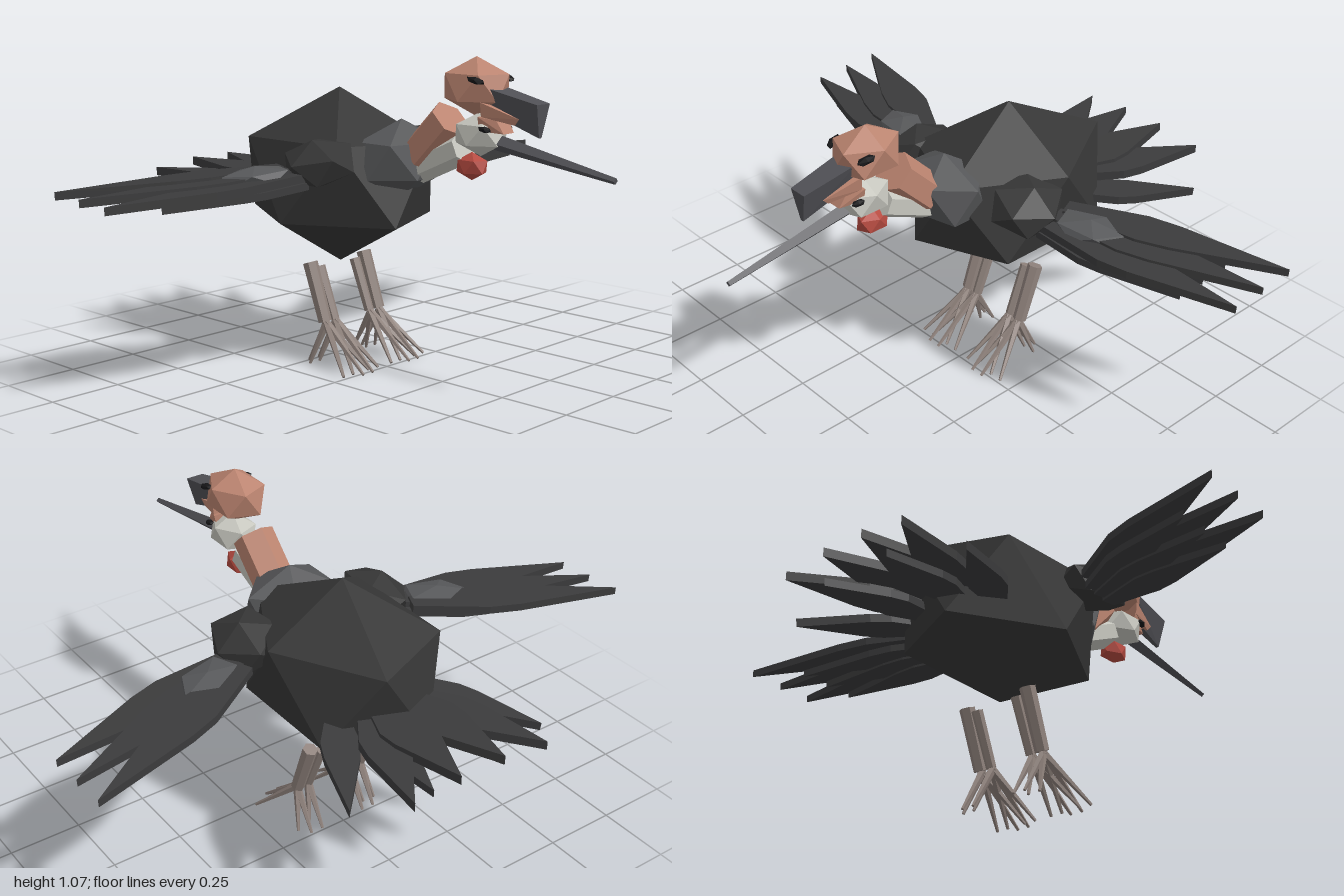
import * as THREE from 'three';
import { ConvexGeometry } from 'three/addons/geometries/ConvexGeometry.js';

const V = (x, y, z) => new THREE.Vector3(x, y, z);

export function createModel() {
  const model = new THREE.Group();
  model.name = 'bird';

  const mat = (name, color) => {
    const m = new THREE.MeshStandardMaterial({ color, flatShading: true });
    m.name = name;
    return m;
  };
  const bodyBlack = mat('bodyBlack', 0x363636);
  const featherBlack = mat('featherBlack', 0x3b3b3c);
  const ruffGrey = mat('ruffGrey', 0x565759);
  const beakGrey = mat('beakGrey', 0x505055);
  const skin = mat('skin', 0xbb8470);
  const pale = mat('pale', 0xc6c6be);
  const red = mat('wattleRed', 0xb54a40);
  const legBrown = mat('legBrown', 0x8f827c);
  const eyeBlack = mat('eyeBlack', 0x161618);

  const add = (name, geometry, material, parent = model) => {
    const mesh = new THREE.Mesh(geometry, material);
    mesh.name = name;
    parent.add(mesh);
    return mesh;
  };

  // Stretched icosahedron standing on a vertex; side -1 mirrors it
  const ico = (name, material, c, r, rot = [0, 0, 0], side = 1, parent = model) => {
    const pts = [V(0, 1, 0), V(0, -1, 0)];
    for (let i = 0; i < 5; i++) {
      const a = i * Math.PI * 0.4;
      const x = Math.cos(a) * 0.8944, z = Math.sin(a) * 0.8944;
      pts.push(V(x, 0.4472, z), V(-x, -0.4472, z));
    }
    const euler = new THREE.Euler(...rot);
    for (const p of pts) {
      p.multiply(V(...r)).applyEuler(euler).add(V(...c));
      p.x *= side;
    }
    return add(name, new ConvexGeometry(pts), material, parent);
  };

  // Straight rod between two points, r0 at the start and r1 at the end
  const rod = (name, material, a, b, r0, r1, sides, parent = model) => {
    const dir = b.clone().sub(a);
    const g = new THREE.CylinderGeometry(r1, r0, dir.length(), sides);
    const mesh = add(name, g, material, parent);
    mesh.position.copy(a).lerp(b, 0.5);
    mesh.quaternion.setFromUnitVectors(V(0, 1, 0), dir.normalize());
    return mesh;
  };

  // Flat pointed feather of even thickness
  const feather = (name, base, tip, w, thick, parent) => {
    const dir = tip.clone().sub(base), L = dir.length();
    const s = new THREE.Shape([
      [0, -0.45 * w], [0.35 * L, -w], [0.5 * L, -0.9 * w], [L, 0],
      [0.5 * L, 0.9 * w], [0.35 * L, w], [0, 0.45 * w],
    ].map(([x, y]) => new THREE.Vector2(x, y)));
    const g = new THREE.ExtrudeGeometry(s, { depth: thick, bevelEnabled: false });
    g.translate(0, 0, -thick / 2);
    const x = dir.normalize();
    const y = V(0, 1, 0).cross(x).normalize();
    const z = x.clone().cross(y);
    g.applyMatrix4(new THREE.Matrix4().makeBasis(x, y, z).setPosition(base));
    return add(name, g, featherBlack, parent);
  };

  // Body, ruff and the two neck tubes
  ico('body', bodyBlack, [0, 0.64, -0.22], [0.313, 0.3, 0.4]);
  ico('ruff', ruffGrey, [0, 0.725, 0.065], [0.18, 0.13, 0.135]);
  rod('neck', skin, V(0, 0.745, 0.15), V(0, 0.872, 0.277), 0.07, 0.07, 6);
  rod('throat', pale, V(0, 0.7, 0.14), V(0, 0.785, 0.33), 0.052, 0.052, 6);

  // Head, pale lower face and red wattle
  ico('head', skin, [0, 0.982, 0.38], [0.102, 0.093, 0.126]);
  ico('lowerFace', pale, [0, 0.835, 0.4], [0.08, 0.07, 0.1]);
  ico('wattle', red, [0, 0.73, 0.365], [0.043, 0.045, 0.062]);

  // Deep upper beak, wide on top and narrow underneath
  add('upperBeak', new ConvexGeometry([
    V(-0.045, 0.985, 0.45), V(0.045, 0.985, 0.45), V(-0.02, 0.91, 0.44), V(0.02, 0.91, 0.44),
    V(-0.032, 0.945, 0.64), V(0.032, 0.945, 0.64), V(-0.006, 0.842, 0.63), V(0.006, 0.842, 0.63),
  ]), beakGrey);
  // Long slender lower beak
  rod('longBeak', beakGrey, V(0, 0.815, 0.46), V(0, 0.742, 0.905), 0.026, 0.01, 4);
  // Fleshy gape between the beaks
  add('gape', new ConvexGeometry([
    V(-0.055, 0.94, 0.44), V(0.055, 0.94, 0.44), V(-0.05, 0.895, 0.44), V(0.05, 0.895, 0.44),
    V(-0.022, 0.895, 0.565), V(0.022, 0.895, 0.565), V(-0.02, 0.875, 0.545), V(0.02, 0.875, 0.545),
  ]), skin);
  add('lowerGape', new ConvexGeometry([
    V(-0.055, 0.895, 0.43), V(0.055, 0.895, 0.43), V(-0.045, 0.85, 0.43), V(0.045, 0.85, 0.43),
    V(-0.03, 0.885, 0.485), V(0.03, 0.885, 0.485), V(-0.025, 0.845, 0.51), V(0.025, 0.845, 0.51),
  ]), skin);

  for (const side of [-1, 1]) {
    const label = side > 0 ? 'left' : 'right';
    const S = (x, y, z) => V(x * side, y, z);

    // Eyes
    ico(label + 'Eye', eyeBlack, [0.077, 1.008, 0.44], [0.018, 0.011, 0.034], [0.25, -0.25, 0], side);
    ico(label + 'LowerEye', eyeBlack, [0.056, 0.858, 0.46], [0.014, 0.01, 0.024], [0.2, -0.3, 0], side);

    // Wing: shoulder, coverts, long top feathers and shorter ones below
    const wing = new THREE.Group();
    wing.name = label + 'Wing';
    model.add(wing);
    ico('shoulder', bodyBlack, [0.255, 0.725, -0.06], [0.12, 0.08, 0.145], [0, 0.1, -0.35], side, wing);
    ico('covert', ruffGrey, [0.45, 0.692, -0.145], [0.13, 0.035, 0.085], [0, 0.4, -0.08], side, wing);
    for (let i = 0; i < 3; i++) {
      feather('longFeather', S(0.33, 0.702 - i * 0.008, -0.16 + i * 0.045),
        S(0.997, 0.664 - i * 0.008, -0.445 + i * 0.125), 0.072, 0.026, wing);
      feather('shortFeather', S(0.32, 0.675 - i * 0.008, -0.14 + i * 0.04),
        S(0.83, 0.647 - i * 0.006, -0.35 + i * 0.105), 0.055, 0.024, wing);
    }

    // Tail: two long feathers, a short one and a low outer one on each side
    const tail = new THREE.Group();
    tail.name = label + 'Tail';
    model.add(tail);
    feather('innerTailFeather', S(0.04, 0.615, -0.45), S(0.083, 0.625, -0.905), 0.085, 0.03, tail);
    feather('outerTailFeather', S(0.07, 0.605, -0.45), S(0.252, 0.605, -0.905), 0.075, 0.03, tail);
    feather('lowerTailFeather', S(0.07, 0.58, -0.45), S(0.135, 0.565, -0.85), 0.06, 0.026, tail);
    feather('sideTailFeather', S(0.14, 0.59, -0.38), S(0.37, 0.54, -0.76), 0.06, 0.028, tail);

    // Leg: a thick and a thin shank, each with three front toes and one back toe
    const leg = new THREE.Group();
    leg.name = label + 'Leg';
    model.add(leg);
    for (const [x, r, top] of [[0.13, 0.026, 0.35], [0.085, 0.019, 0.33]]) {
      rod('shank', legBrown, S(x, 0.155, -0.165), S(x, top, -0.235), r * 0.9, r, 6, leg);
      const ankle = S(x, 0.152, -0.16);
      for (const [dx, z] of [[-0.052, -0.01], [0.005, 0.02], [0.068, -0.01], [0, -0.245], [0.03, -0.21]]) {
        rod('toe', legBrown, ankle, S(x + dx, 0.006, z), 0.014, 0.005, 5, leg);
      }
    }
  }
  return model;
}
